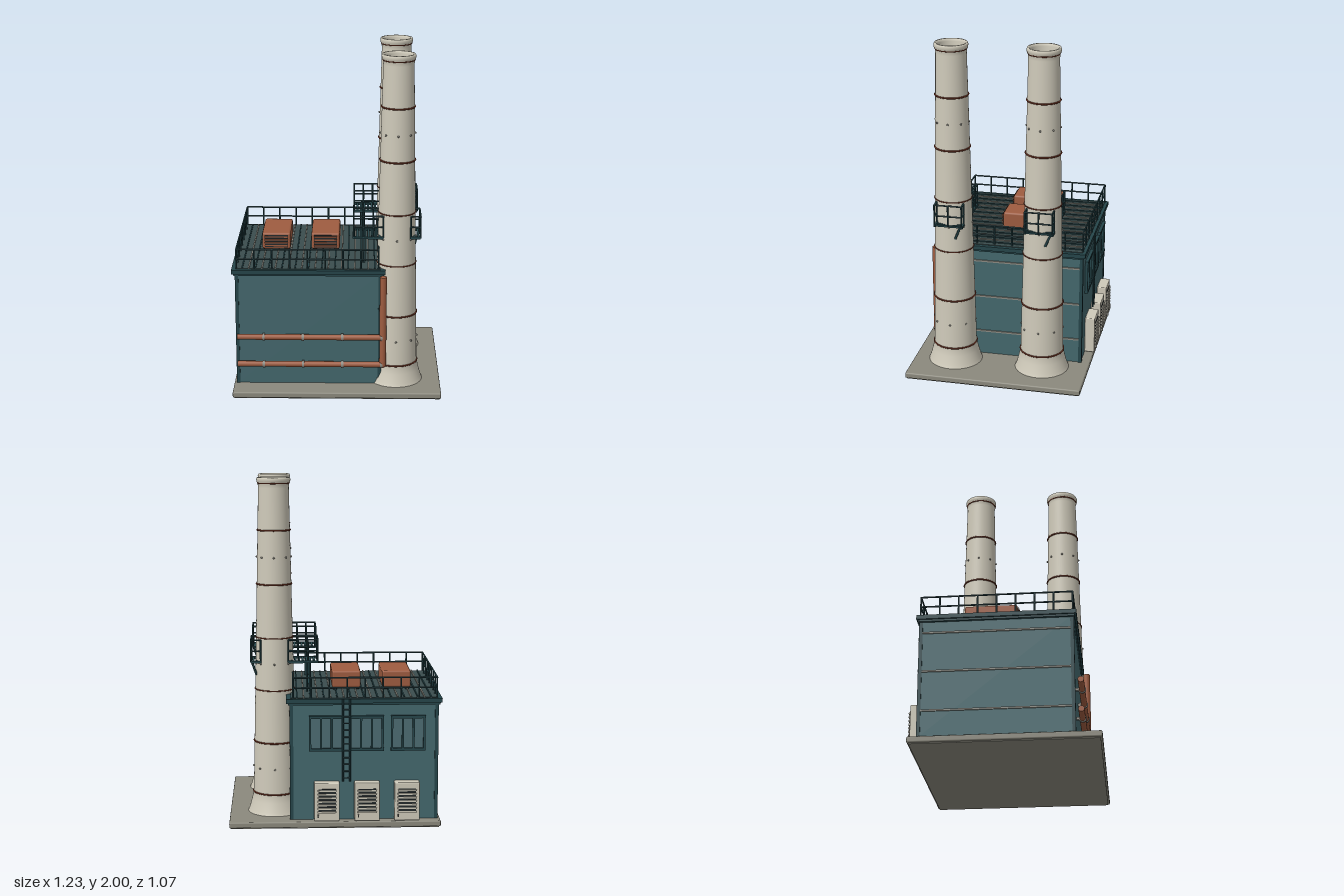
import * as THREE from 'three';
import { RoundedBoxGeometry } from 'three/addons/geometries/RoundedBoxGeometry.js';

const mat = (name, color) => new THREE.MeshStandardMaterial({ name, color });

export function createModel() {
  const teal = mat('wall teal', 0x44686d), steel = mat('dark teal steel', 0x25454a);
  const roofing = mat('roof slate', 0x3b4d4e), concrete = mat('concrete', 0x8b897d);
  const cream = mat('chimney cream', 0xcfcaba), rust = mat('rust', 0x9e5c40);
  const band = mat('dark rust', 0x6e3423), dark = mat('vent black', 0x23292b);
  const grey = mat('trim grey', 0x8b8a82), glass = mat('window glass', 0x4d6c72);
  cream.side = THREE.DoubleSide;

  const model = new THREE.Group();
  const group = (name, parent = model) => {
    const g = new THREE.Group();
    g.name = name;
    parent.add(g);
    return g;
  };
  const add = (parent, name, geo, m, x = 0, y = 0, z = 0) => {
    const mesh = new THREE.Mesh(geo, m);
    mesh.name = name;
    mesh.position.set(x, y, z);
    parent.add(mesh);
    return mesh;
  };
  // Box given by its two extreme corners
  const box = (parent, name, m, x0, x1, y0, y1, z0, z1) =>
    add(parent, name, new THREE.BoxGeometry(x1 - x0, y1 - y0, z1 - z0), m,
      (x0 + x1) / 2, (y0 + y1) / 2, (z0 + z1) / 2);
  // Round bar between two points
  const bar = (parent, name, m, a, b, r, sides = 8) => {
    const p = new THREE.Vector3(...a), d = new THREE.Vector3(...b).sub(p);
    const mesh = add(parent, name, new THREE.CylinderGeometry(r, r, d.length(), sides), m);
    mesh.position.copy(p).addScaledVector(d, 0.5);
    mesh.quaternion.setFromUnitVectors(new THREE.Vector3(0, 1, 0), d.normalize());
    return mesh;
  };
  // Straight railing run with posts and two rails
  const railing = (parent, a, b, y0, y1, n, r) => {
    for (const y of [y1, (y0 + y1) / 2])
      bar(parent, 'rail', steel, [a[0], y, a[1]], [b[0], y, b[1]], r);
    for (let i = 0; i <= n; i++) {
      const x = a[0] + (b[0] - a[0]) * i / n, z = a[1] + (b[1] - a[1]) * i / n;
      bar(parent, 'railPost', steel, [x, y0, z], [x, y1, z], r);
    }
  };

  // Ground slab
  add(model, 'groundSlab', new RoundedBoxGeometry(1.22, 0.035, 1.05, 2, 0.008), concrete, 0, 0.0225, 0.005);
  box(model, 'slabFoot', concrete, -0.6, 0.6, 0, 0.02, -0.51, 0.52);

  // Building walls, corner posts and side trims
  const building = group('building');
  box(building, 'walls', teal, -0.59, 0.255, 0.035, 0.73, -0.465, 0.385);
  for (const x of [-0.585, 0.25]) for (const z of [-0.46, 0.38])
    box(building, 'cornerPost', steel, x - 0.01, x + 0.01, 0.035, 0.73, z - 0.01, z + 0.01);
  for (const y of [0.19, 0.42, 0.65]) {
    box(building, 'sideTrim', grey, -0.597, -0.59, y - 0.005, y + 0.005, -0.45, 0.37);
    box(building, 'sideTrim', grey, 0.255, 0.262, y - 0.005, y + 0.005, -0.45, 0.37);
  }

  // Roof slab with ribs
  const roof = group('roof');
  box(roof, 'roofEdge', steel, -0.615, 0.28, 0.727, 0.752, -0.485, 0.405);
  box(roof, 'roofLip', steel, -0.605, 0.27, 0.715, 0.727, -0.475, 0.395);
  box(roof, 'roofDeck', roofing, -0.59, 0.255, 0.752, 0.756, -0.465, 0.385);
  for (let i = 0; i < 21; i++) {
    const x = -0.552 + i * 0.0385;
    box(roof, 'roofRib', i % 2 ? grey : steel, x - 0.004, x + 0.004, 0.754, 0.762, -0.46, 0.38);
  }
  const corners = [[-0.585, -0.465], [0.24, -0.465], [0.24, 0.385], [-0.585, 0.385]];
  const rails = group('roofRailing');
  corners.forEach((c, i) => railing(rails, c, corners[(i + 1) % 4], 0.755, 0.873, 8, 0.005));

  // Rooftop ventilation units
  for (const x of [-0.37, -0.075]) {
    const unit = group('roofUnit');
    unit.position.x = x;
    add(unit, 'unitCase', new RoundedBoxGeometry(0.17, 0.1, 0.3, 2, 0.012), rust, 0, 0.82, -0.085);
    box(unit, 'unitGrille', dark, -0.07, 0.07, 0.782, 0.858, 0.062, 0.069);
    for (let i = 0; i < 4; i++)
      box(unit, 'unitLouvre', rust, -0.07, 0.07, 0.79 + i * 0.018, 0.797 + i * 0.018, 0.066, 0.075);
    for (const fx of [-0.065, 0.065]) for (const z of [-0.2, 0.03])
      box(unit, 'unitFoot', dark, fx - 0.012, fx + 0.012, 0.75, 0.775, z - 0.015, z + 0.015);
  }

  // Front pipework
  const pipes = group('frontPipes');
  for (const y of [0.175, 0.345]) {
    bar(pipes, 'pipe', rust, [-0.585, y, 0.42], [0.27, y, 0.42], 0.017, 16);
    for (const x of [-0.43, -0.2, 0.03, 0.26]) {
      bar(pipes, 'clamp', grey, [x - 0.007, y, 0.42], [x + 0.007, y, 0.42], 0.022, 16);
      box(pipes, 'clampArm', grey, x - 0.006, x + 0.006, y - 0.008, y + 0.008, 0.38, 0.41);
    }
  }
  bar(pipes, 'riserPipe', rust, [0.268, 0.175, 0.42], [0.268, 0.72, 0.42], 0.02, 16);
  add(pipes, 'elbow', new THREE.SphereGeometry(0.02, 16, 10), rust, 0.268, 0.175, 0.42);

  // Rear windows and air conditioners
  for (const x of [0.05, -0.18, -0.42]) {
    const win = group('window');
    win.position.x = x;
    box(win, 'pane', glass, -0.09, 0.09, 0.46, 0.64, -0.472, -0.464);
    for (const y of [0.455, 0.645]) box(win, 'frameBar', steel, -0.1, 0.1, y - 0.008, y + 0.008, -0.484, -0.464);
    for (const fx of [-0.093, -0.031, 0.031, 0.093])
      box(win, 'mullion', steel, fx - 0.006, fx + 0.006, 0.455, 0.645, -0.482, -0.464);
  }
  for (const x of [0.048, -0.183, -0.413]) {
    const ac = group('airConditioner');
    ac.position.x = x;
    add(ac, 'acCase', new RoundedBoxGeometry(0.145, 0.225, 0.06, 2, 0.006), cream, 0, 0.157, -0.495);
    box(ac, 'acGrille', dark, -0.05, 0.05, 0.1, 0.235, -0.529, -0.523);
    for (let i = 0; i < 7; i++)
      box(ac, 'acLouvre', cream, -0.055, 0.055, 0.095 + i * 0.021, 0.103 + i * 0.021, -0.535, -0.525);
    box(ac, 'acHandle', grey, 0.047, 0.054, 0.07, 0.085, -0.54, -0.523);
  }

  // Rear wall ladder
  const ladder = group('ladder');
  for (const x of [-0.085, -0.045]) bar(ladder, 'ladderRail', steel, [x, 0.27, -0.486], [x, 0.75, -0.486], 0.005);
  for (let y = 0.29; y < 0.74; y += 0.04) bar(ladder, 'rung', steel, [-0.085, y, -0.486], [-0.045, y, -0.486], 0.004);

  // Chimneys with bands, bolts and service platform
  const radiusAt = y => 0.127 - (y - 0.16) * 0.0215;
  const profile = [[0.16, 0.04], [0.152, 0.06], [0.138, 0.11], [0.127, 0.16], [0.088, 1.94], [0.09, 1.965],
    [0.096, 1.975], [0.098, 1.99], [0.094, 2], [0.084, 2], [0.078, 1.985], [0.076, 1.9]]
    .map(p => new THREE.Vector2(...p));
  for (const z of [0.285, -0.245]) {
    const chimney = group('chimney');
    chimney.position.set(0.345, 0, z);
    add(chimney, 'stack', new THREE.LatheGeometry(profile, 48), cream);
    add(chimney, 'flueMouth', new THREE.CylinderGeometry(0.078, 0.078, 0.01, 32), dark, 0, 1.935, 0);
    for (const y of [0.16, 0.465, 0.775, 1.08, 1.39, 1.7, 1.968]) {
      const thick = [0.775, 1.08].includes(y) ? 0.0035 : 0.005;
      add(chimney, 'band', new THREE.TorusGeometry(radiusAt(y) + 0.001, thick, 6, 48), band, 0, y, 0).rotation.x = Math.PI / 2;
    }
    for (const y of [0.31, 0.93, 1.545]) for (let i = 0; i < 8; i++) {
      const a = i * Math.PI / 4, r = radiusAt(y) + 0.002;
      add(chimney, 'bolt', new THREE.SphereGeometry(0.006, 8, 6), grey, r * Math.cos(a), y, r * Math.sin(a));
    }

    // Platform on both sides of the stack
    const platform = group('platform', chimney);
    for (const [inner, outer] of [[-0.08, -0.25], [0.08, 0.135]]) {
      const x0 = Math.min(inner, outer), x1 = Math.max(inner, outer);
      for (const s of [-0.08, 0.08]) {
        box(platform, 'floorBeam', steel, x0, x1, 0.934, 0.948, s - 0.006, s + 0.006);
        railing(platform, [inner, s], [outer, s], 0.94, 1.07, outer < 0 ? 3 : 1, 0.005);
      }
      for (let x = x0; x <= x1 + 0.001; x += 0.0215)
        box(platform, 'floorSlat', steel, x - 0.006, x + 0.006, 0.936, 0.946, -0.08, 0.08);
      railing(platform, [outer, -0.08], [outer, 0.08], 0.94, 1.07, 2, 0.005);
    }
    // Braces below the platform
    for (const x of [-0.205, -0.188]) bar(platform, 'strut', steel, [x, 0.94, -0.07], [x, 0.755, -0.02], 0.006);
    bar(platform, 'brace', steel, [0.13, 0.94, -0.07], [0.105, 0.86, -0.035], 0.007);
  }
  return model;
}
